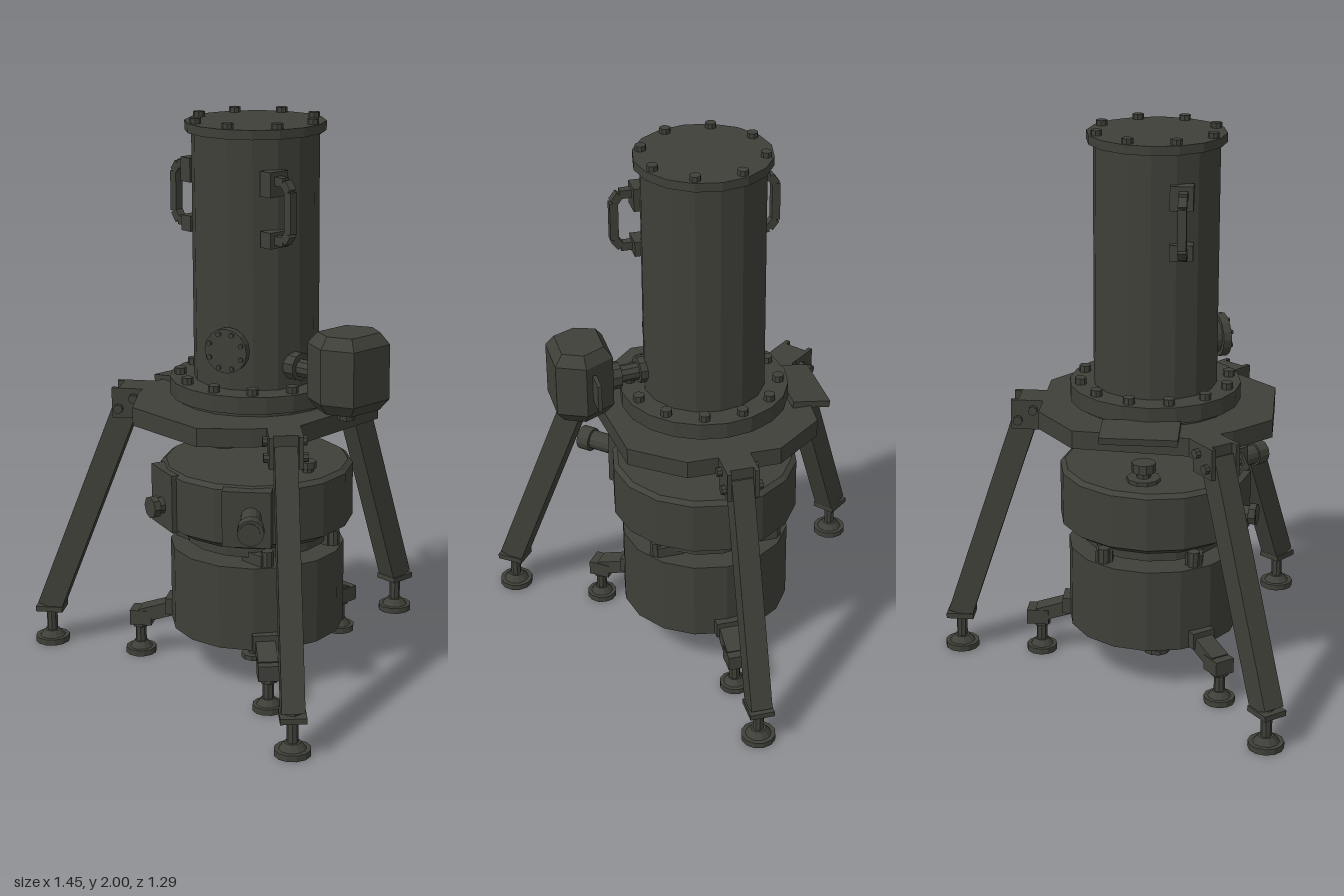
import * as THREE from 'three';

export function createModel() {
  const root = new THREE.Group();
  const dark = new THREE.MeshStandardMaterial({ color: 0x40403a, flatShading: true });
  dark.name = 'darkMetal';
  const CZ = 0.137; // z of the main vertical axis
  const V = (x, y, z) => new THREE.Vector3(x, y, z);

  const add = (name, geo, x = 0, y = 0, z = 0) => {
    const m = new THREE.Mesh(geo, dark);
    m.name = name;
    m.position.set(x, y, z);
    root.add(m);
    return m;
  };
  const box = (name, w, h, d, x, y, z) => add(name, new THREE.BoxGeometry(w, h, d), x, y, z);
  // upright cylinder between two heights
  const cyl = (name, rTop, rBottom, y0, y1, x = 0, z = CZ, seg = 16) =>
    add(name, new THREE.CylinderGeometry(rTop, rBottom, y1 - y0, seg), x, (y0 + y1) / 2, z);
  // square bar from a to b
  const beam = (name, a, b, w, h) => {
    const m = add(name, new THREE.BoxGeometry(w, h, a.distanceTo(b)));
    m.position.copy(a).lerp(b, 0.5);
    m.lookAt(b);
    return m;
  };
  // round bar from a to b
  const rod = (name, a, b, r, seg = 10) => {
    const g = new THREE.CylinderGeometry(r, r, a.distanceTo(b), seg).rotateX(Math.PI / 2);
    const m = add(name, g);
    m.position.copy(a).lerp(b, 0.5);
    m.lookAt(b);
    return m;
  };
  const boltRing = (name, n, radius, y0, y1, r, phase) => {
    for (let i = 0; i < n; i++) {
      const a = phase + (i / n) * Math.PI * 2;
      cyl(name, r, r, y0, y1, Math.cos(a) * radius, CZ + Math.sin(a) * radius, 8);
    }
  };
  // horizontal slab from an outline of x, z points
  const slab = (name, pts, depth, bevel = 0) => {
    const s = new THREE.Shape(pts.map(([x, z]) => new THREE.Vector2(x, z)));
    const g = new THREE.ExtrudeGeometry(s, {
      depth, bevelEnabled: bevel > 0, bevelSize: bevel, bevelThickness: bevel * 1.4,
      bevelSegments: 1, bevelOffset: -bevel,
    }).rotateX(Math.PI / 2);
    return add(name, g);
  };

  // upper column with lid and base flange
  cyl('column', 0.22, 0.22, 1.08, 1.95);
  cyl('lid', 0.243, 0.243, 1.95, 1.982);
  boltRing('lidBolt', 8, 0.215, 1.98, 2.0, 0.02, Math.PI / 8);
  cyl('baseFlange', 0.305, 0.305, 1.025, 1.085, 0, CZ, 20);
  cyl('flangeFoot', 0.28, 0.28, 1.0, 1.03, 0, CZ, 20);
  boltRing('flangeBolt', 12, 0.268, 1.08, 1.108, 0.021, Math.PI / 12);

  // carrying platform and the collar under it
  const half = [[0.17, -0.26], [0.35, -0.12], [0.385, 0.3], [0.3, 0.43], [0.17, 0.562]];
  const outline = [...half, ...half.map(([x, z]) => [-x, z]).reverse()];
  slab('platform', outline, 0.065).position.y = 1.01;
  cyl('collar', 0.19, 0.12, 0.912, 0.946);
  boltRing('collarBolt', 8, 0.105, 0.9, 0.93, 0.015, 0);
  box('sidePlate', 0.14, 0.025, 0.27, -0.36, 1.015, 0.115).rotation.z = 0.13;

  // round levelling foot
  const foot = (x, z, r, top) => {
    cyl('footPad', r, r, 0, 0.022, x, z, 12);
    cyl('footBoss', r * 0.45, r * 0.75, 0.022, 0.045, x, z, 10);
    cyl('footStem', 0.02, 0.02, 0.04, top, x, z, 8);
    cyl('footNut', 0.032, 0.032, top - 0.035, top - 0.01, x, z, 6);
  };

  // long tripod legs with hinged brackets
  const legs = [
    [V(0.41, 0.96, 0.38), V(0.658, 0.145, 0.578)],
    [V(-0.41, 0.96, 0.38), V(-0.658, 0.145, 0.578)],
    [V(0, 0.96, -0.32), V(0, 0.145, -0.585)],
  ];
  for (const [top, bottom] of legs) {
    beam('leg', top, bottom, 0.078, 0.09);
    foot(bottom.x, bottom.z, 0.063, 0.17);
    const out = V(bottom.x - top.x, 0, bottom.z - top.z).normalize();
    const side = V(-out.z, 0, out.x);
    const at = (o, y, s) => V(top.x, y, top.z).addScaledVector(out, o).addScaledVector(side, s);
    beam('legArm', at(-0.14, 0.977, 0), at(0.03, 0.977, 0), 0.115, 0.066);
    beam('legEndCap', bottom.clone().addScaledVector(out, -0.05).setY(0.138),
      bottom.clone().addScaledVector(out, 0.05).setY(0.138), 0.09, 0.02);
    for (const s of [-1, 1]) {
      beam('hingeCheek', at(-0.055, 0.955, s * 0.05), at(0.055, 0.955, s * 0.05), 0.016, 0.11);
      for (const [o, y] of [[-0.025, 0.975], [0.03, 0.935]])
        rod('hingeBolt', at(o, y, s * 0.05), at(o, y, s * 0.075), 0.017, 8);
    }
  }

  // column carry handles
  for (const s of [-1, 1]) {
    const X = (x, y) => V(s * x, y, 0.247);
    for (const y of [1.803, 1.615]) {
      box('handleMount', 0.05, y > 1.7 ? 0.085 : 0.055, 0.08, s * 0.205, y, 0.24);
    }
    const pts = [X(0.2, 1.815), X(0.27, 1.815), X(0.293, 1.785), X(0.293, 1.645), X(0.27, 1.615), X(0.2, 1.615)];
    for (let i = 0; i < 5; i++) beam('handleGrip', pts[i], pts[i + 1], 0.03, 0.03);
  }

  // round inspection port, turned a little to the left
  const port = new THREE.Group();
  port.name = 'inspectionPort';
  port.position.set(0, 1.23, CZ);
  port.rotation.y = 0.42;
  root.add(port);
  const portPart = (name, r, z, d, x = 0, y = 0) => {
    const m = add(name, new THREE.CylinderGeometry(r, r, d, r > 0.03 ? 16 : 6).rotateX(Math.PI / 2), x, y, z);
    port.add(m);
  };
  portPart('portNeck', 0.062, 0.21, 0.06);
  portPart('portFlange', 0.078, 0.245, 0.03);
  for (let i = 0; i < 8; i++) {
    const a = (i + 0.5) * Math.PI / 4;
    portPart('portBolt', 0.009, 0.263, 0.012, Math.cos(a) * 0.063, Math.sin(a) * 0.063);
  }

  // side motor with its coupling
  slab('motor', [[0.56, 0.042], [0.56, 0.212], [0.455, 0.262], [0.352, 0.225], [0.352, 0.055], [0.46, -0.005]],
    0.19, 0.028).position.y = 1.282;
  rod('couplingFlange', V(0.2, 1.162, 0.155), V(0.245, 1.162, 0.15), 0.05, 10);
  rod('couplingPipe', V(0.2, 1.158, 0.155), V(0.37, 1.158, 0.135), 0.032, 10);
  rod('couplingFlange', V(0.315, 1.158, 0.142), V(0.36, 1.158, 0.136), 0.05, 10);
  cyl('motorStub', 0.035, 0.03, 1.015, 1.06, 0.445, 0.13, 8);
  box('motorTab', 0.014, 0.1, 0.08, 0.43, 1.2, -0.035);

  // middle drum with bevelled underside and neck
  cyl('middleDrum', 0.343, 0.343, 0.568, 0.762);
  cyl('middleDrumTop', 0.325, 0.343, 0.762, 0.776);
  cyl('middleDrumUnderside', 0.343, 0.29, 0.535, 0.568);
  cyl('neck', 0.255, 0.255, 0.49, 0.54);
  for (const x of [-1, 1]) for (const z of [-1, 1]) {
    box('neckBlock', 0.1, 0.05, 0.06, x * 0.18, 0.485, CZ + z * 0.16);
    cyl('neckBolt', 0.022, 0.022, 0.47, 0.525, x * 0.23, CZ + z * 0.16, 8);
  }

  // knobs on the drum top
  cyl('knobStem', 0.025, 0.025, 0.77, 0.815, -0.2, 0.115, 8);
  cyl('knob', 0.043, 0.043, 0.812, 0.845, -0.2, 0.115, 10);
  cyl('knobBase', 0.06, 0.06, 0.77, 0.79, -0.2, 0.115, 10);
  cyl('smallKnobStem', 0.02, 0.02, 0.77, 0.8, 0.24, 0.115, 8);
  cyl('smallKnob', 0.031, 0.031, 0.79, 0.815, 0.24, 0.115, 8);

  // drum outlet pipe and front valve, each on a mounting plate
  beam('outletPlate', V(0.205, 0.67, 0.36), V(0.25, 0.67, 0.412), 0.17, 0.2);
  rod('outletPipe', V(0.24, 0.68, 0.38), V(0.38, 0.68, 0.515), 0.036, 12);
  rod('outletCollar', V(0.345, 0.68, 0.477), V(0.38, 0.68, 0.51), 0.046, 12);
  beam('frontPlate', V(-0.125, 0.665, 0.42), V(-0.137, 0.665, 0.465), 0.17, 0.21);
  rod('frontValve', V(-0.13, 0.64, 0.44), V(-0.143, 0.64, 0.515), 0.03, 10);
  rod('frontValveCap', V(-0.138, 0.64, 0.49), V(-0.143, 0.64, 0.515), 0.04, 8);

  // lower drum with a centre drain
  cyl('lowerDrum', 0.312, 0.312, 0.165, 0.47);
  cyl('drainStem', 0.024, 0.024, 0.03, 0.17, 0, 0.15, 8);
  cyl('drainCap', 0.05, 0.05, 0.015, 0.032, 0, 0.15, 10);

  // short feet around the lower drum
  for (const [x, z] of [[0.348, 0.402], [-0.348, 0.402], [0, -0.282]]) {
    const d = V(x, 0, z - CZ).normalize();
    const p = (r, y) => V(d.x * r, y, CZ + d.z * r);
    beam('shortArmRoot', p(0.26, 0.2), p(0.335, 0.2), 0.09, 0.06);
    beam('shortArm', p(0.31, 0.19), p(0.43, 0.152), 0.07, 0.052);
    beam('shortArmEnd', p(0.39, 0.145), p(0.47, 0.145), 0.075, 0.055);
    foot(x, z, 0.056, 0.14);
  }
  return root;
}
